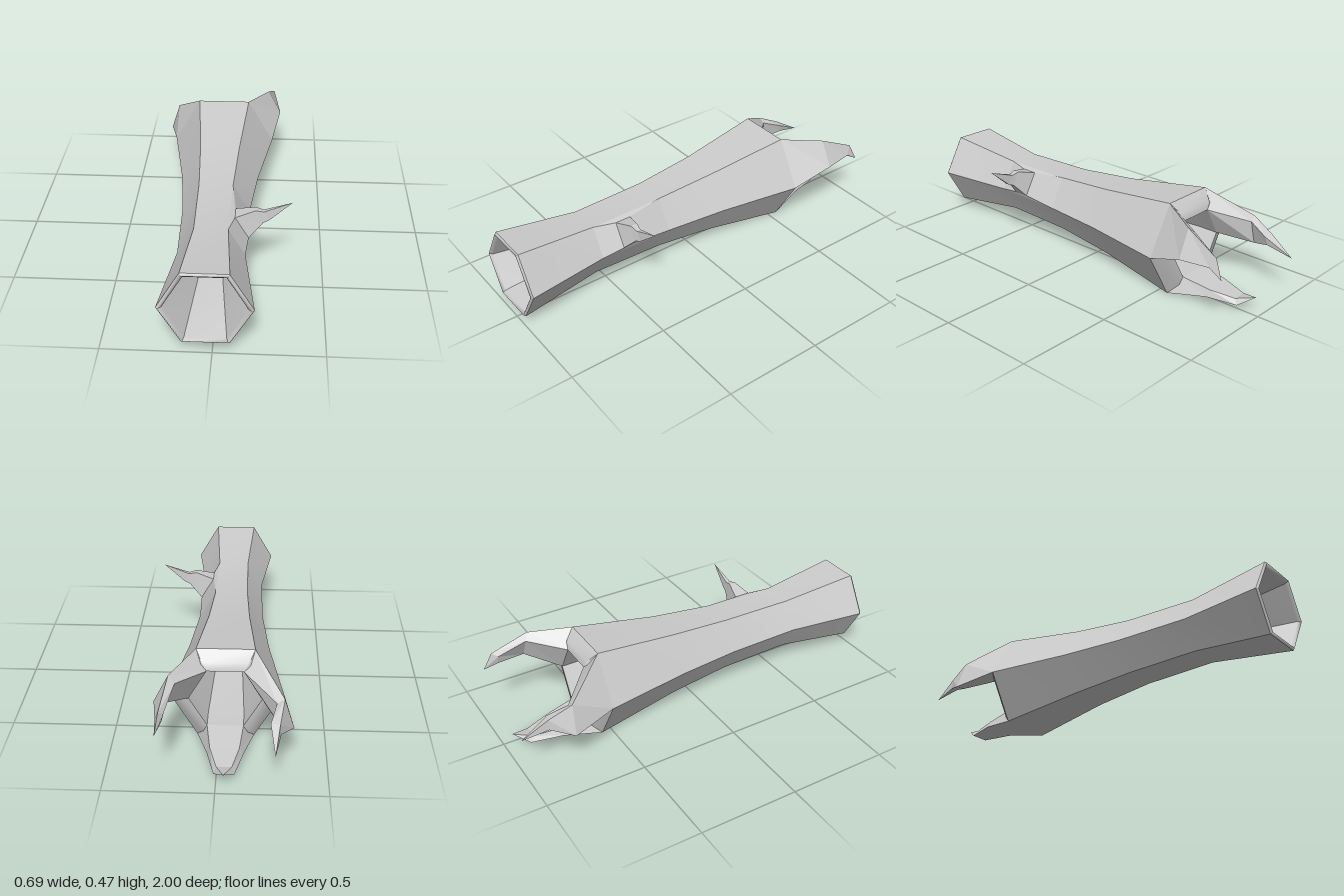
import * as THREE from 'three';

const CX = -0.03, CY = 0.237; // axis of the tube
const material = new THREE.MeshStandardMaterial({ color: 0xcccccc });

// Skins a list of cross-sections (each a list of [x, y, z]) into one surface.
function loft(rings, closed, smooth) {
  const n = rings[0].length, index = [];
  for (let k = 0; k < rings.length - 1; k++) {
    for (let i = 0; i < (closed ? n : n - 1); i++) {
      const j = (i + 1) % n;
      const a = k * n + i, b = k * n + j, c = (k + 1) * n + j, d = (k + 1) * n + i;
      index.push(a, b, c, a, c, d);
    }
  }
  let geometry = new THREE.BufferGeometry();
  geometry.setAttribute('position', new THREE.Float32BufferAttribute(rings.flat(2), 3));
  geometry.setIndex(index);
  if (!smooth) geometry = geometry.toNonIndexed();
  geometry.computeVertexNormals();
  return geometry;
}

function addMesh(parent, name, geometry) {
  const mesh = new THREE.Mesh(geometry, material);
  mesh.name = name;
  parent.add(mesh);
}

const hexPoint = (r, z, i) => {
  const a = i * Math.PI / 3;
  return [CX + r * Math.cos(a), CY + r * Math.sin(a), z];
};

// Six panels, smooth along the length and sharp at the hexagon's corners.
function addHexShell(parent, name, profile) {
  for (let i = 0; i < 6; i++) {
    const rings = profile.map(([r, z]) => [hexPoint(r, z, i), hexPoint(r, z, i + 1)]);
    addMesh(parent, name, loft(rings, false, true));
  }
}

export function createModel() {
  const model = new THREE.Group();

  // Waisted hexagonal tube: [radius, z]
  const tube = new THREE.Group();
  tube.name = 'tube';
  model.add(tube);
  addHexShell(tube, 'outerPanel',
    [[0.27, -0.55], [0.2, -0.12], [0.167, 0.2], [0.158, 0.58], [0.213, 0.99]]);
  addHexShell(tube, 'innerPanel',
    [[0.213, 0.99], [0.203, 1], [0.187, 0.985], [0.102, 0.58], [0.106, 0.2], [0.135, -0.12], [0.17, -0.5], [0.17, -0.605]]);
  addHexShell(tube, 'backRim', [[0.17, -0.605], [0.215, -0.597], [0.27, -0.55]]);

  // Claws: two outer corners, then two inner ones, for the knuckle and the bend; then the tip.
  // "side" is the hexagon panel that each claw grows from.
  const claws = [
    {
      name: 'leftClaw', side: 0,
      knuckle: [[0.215, 0.445, -0.745], [0.282, 0.313, -0.75], [0.235, 0.313, -0.765], [0.185, 0.415, -0.765]],
      bend: [[0.245, 0.365, -0.925], [0.262, 0.318, -0.9], [0.232, 0.308, -0.9], [0.222, 0.35, -0.9]],
      tip: [0.26, 0.276, -0.967],
    },
    {
      name: 'rightClaw', side: 2,
      knuckle: [[-0.345, 0.195, -0.765], [-0.3, 0.34, -0.755], [-0.265, 0.32, -0.76], [-0.285, 0.205, -0.77]],
      bend: [[-0.285, 0.232, -0.87], [-0.28, 0.285, -0.87], [-0.238, 0.28, -0.86], [-0.245, 0.238, -0.87]],
      tip: [-0.26, 0.205, -1],
    },
    {
      name: 'bottomClaw', side: 4,
      knuckle: [[0.05, 0.03, -0.74], [-0.12, 0.03, -0.74], [-0.1, 0.065, -0.75], [0.035, 0.065, -0.75]],
      bend: [[0.012, 0.025, -0.89], [-0.082, 0.025, -0.89], [-0.07, 0.05, -0.87], [0, 0.05, -0.87]],
      tip: [-0.035, 0.075, -0.963],
    },
  ];
  for (const { name, side, knuckle, bend, tip } of claws) {
    const root = [
      hexPoint(0.27, -0.55, side + 1), hexPoint(0.27, -0.55, side),
      hexPoint(0.17, -0.605, side), hexPoint(0.17, -0.605, side + 1),
    ];
    addMesh(model, name, loft([root, knuckle, bend, [tip, tip, tip, tip]], true, false));
  }

  // Thorn on the upper left panel, flaring into the tube.
  const thornRing = (x0, y0, x1, y1, front, back) =>
    [[x0, y0, front], [x1, y1, front], [x1, y1, back], [x0, y0, back]];
  const thornRoot = [
    hexPoint(0.158, 0.58, 1), hexPoint(0.158, 0.58, 0),
    hexPoint(0.167, 0.2, 0), hexPoint(0.167, 0.2, 1),
  ];
  addMesh(model, 'thorn', loft([
    thornRoot,
    thornRing(0.075, 0.366, 0.14, 0.255, 0.468, 0.387),
    thornRing(0.17, 0.392, 0.205, 0.325, 0.444, 0.41),
    thornRing(0.208, 0.382, 0.235, 0.338, 0.437, 0.415),
    thornRing(0.342, 0.43, 0.342, 0.43, 0.425, 0.425),
  ], true, false));

  return model;
}
